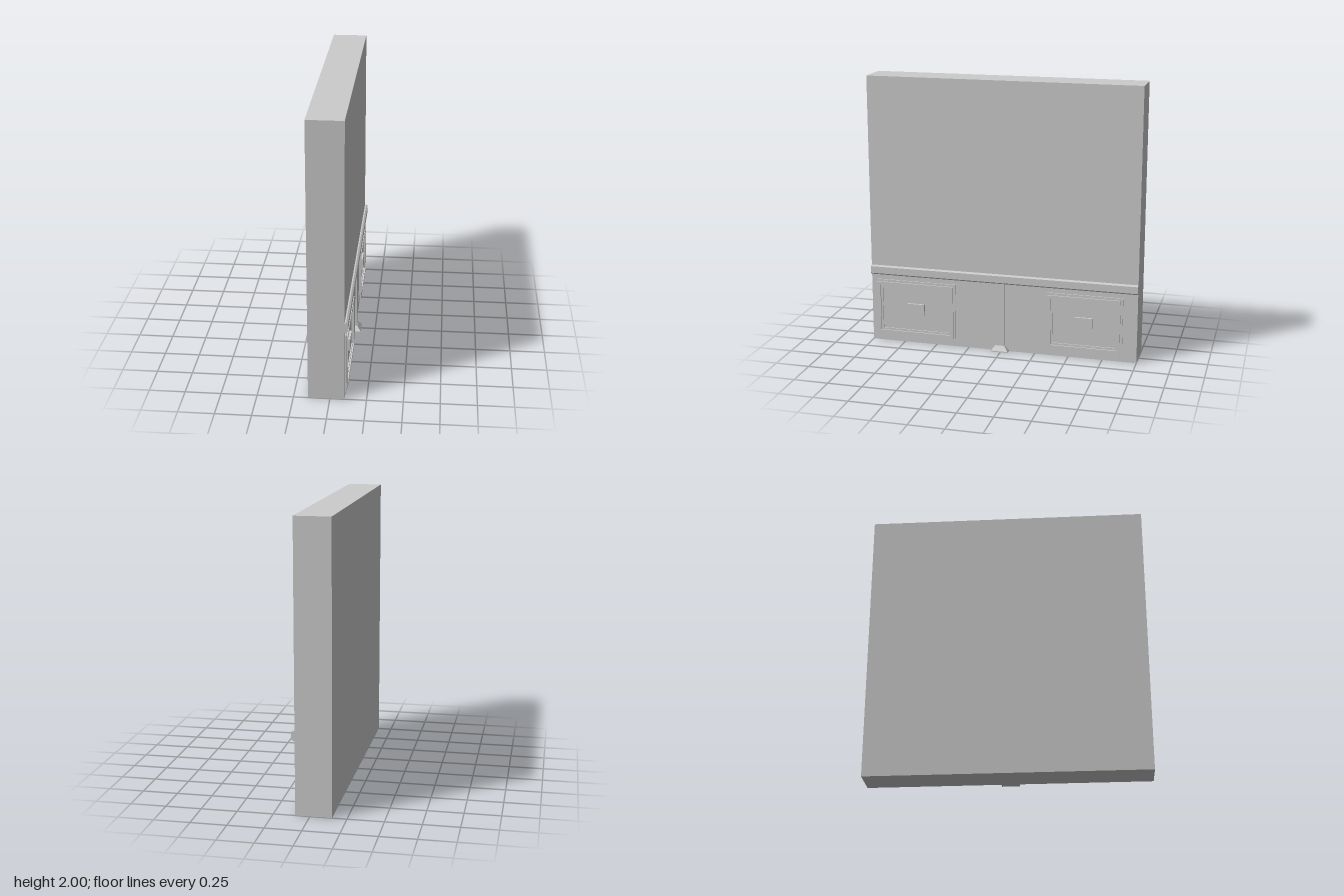
import * as THREE from 'three';

const material = new THREE.MeshStandardMaterial({ color: 0xcccccc, flatShading: true });
const FACE = 0.1; // x of the decorated wall face

function add(parent, name, geometry) {
  const mesh = new THREE.Mesh(geometry, material);
  mesh.name = name;
  parent.add(mesh);
  return mesh;
}

// Box given by its limits on each axis
function block(parent, name, [x0, x1], [y0, y1], [z0, z1]) {
  const mesh = add(parent, name, new THREE.BoxGeometry(x1 - x0, y1 - y0, z1 - z0));
  mesh.position.set((x0 + x1) / 2, (y0 + y1) / 2, (z0 + z1) / 2);
  return mesh;
}

// Rectangular outline on the wall face, shrunk by an inset
function outline(Type, z0, z1, y0, y1, inset) {
  const a = -z1 + inset, b = -z0 - inset, c = y0 + inset, d = y1 - inset;
  return new Type([[a, c], [b, c], [b, d], [a, d]].map(p => new THREE.Vector2(...p)));
}

// Stepped picture-frame moulding with a small raised block in the middle
function panel(name, z0, z1, blockZ, blockY) {
  const group = new THREE.Group();
  group.name = name;
  const y0 = 0.045, y1 = 0.48;
  const steps = [[0, 0.017, 0.008], [0.017, 0.04, 0.018], [0.04, 0.055, 0.008]];
  steps.forEach(([outer, inner, depth], i) => {
    const shape = outline(THREE.Shape, z0, z1, y0, y1, outer);
    shape.holes.push(outline(THREE.Path, z0, z1, y0, y1, inner));
    const geometry = new THREE.ExtrudeGeometry(shape, { depth, bevelEnabled: false });
    geometry.rotateY(Math.PI / 2).translate(FACE, 0, 0);
    add(group, 'frameStep' + (i + 1), geometry);
  });
  block(group, 'centreBlock', [FACE, FACE + 0.016], blockY, blockZ);
  return group;
}

export function createModel() {
  const model = new THREE.Group();
  model.name = 'panelledWall';

  block(model, 'wall', [-0.15, FACE], [0, 2], [-1, 1]);

  // Chair rail: profile in x and y, run along the whole wall
  const profile = [[0.1, 0.515], [0.112, 0.518], [0.122, 0.528], [0.122, 0.579], [0.11, 0.587], [0.1, 0.587]];
  const rail = new THREE.ExtrudeGeometry(
    new THREE.Shape(profile.map(p => new THREE.Vector2(...p))), { depth: 2, bevelEnabled: false });
  add(model, 'chairRail', rail.translate(0, 0, -1));

  model.add(panel('leftPanel', 0.35, 0.97, [0.59, 0.72], [0.22, 0.306]));
  model.add(panel('rightPanel', -0.895, -0.33, [-0.675, -0.545], [0.213, 0.311]));

  // Pilaster between the panels, on a flared foot
  block(model, 'pilaster', [FACE, 0.113], [0.04, 0.517], [-0.025, 0.04]);
  block(model, 'footBase', [FACE, 0.143], [0, 0.008], [-0.055, 0.07]);
  const foot = block(model, 'footFlare', [FACE, 0.143], [0.008, 0.042], [-0.055, 0.07]);
  const pos = foot.geometry.attributes.position;
  for (let i = 0; i < pos.count; i++) {
    if (pos.getY(i) < 0) continue;
    pos.setZ(i, pos.getZ(i) * 0.52);
    if (pos.getX(i) > 0) pos.setX(i, pos.getX(i) - 0.028);
  }
  foot.geometry.computeVertexNormals();

  return model;
}
